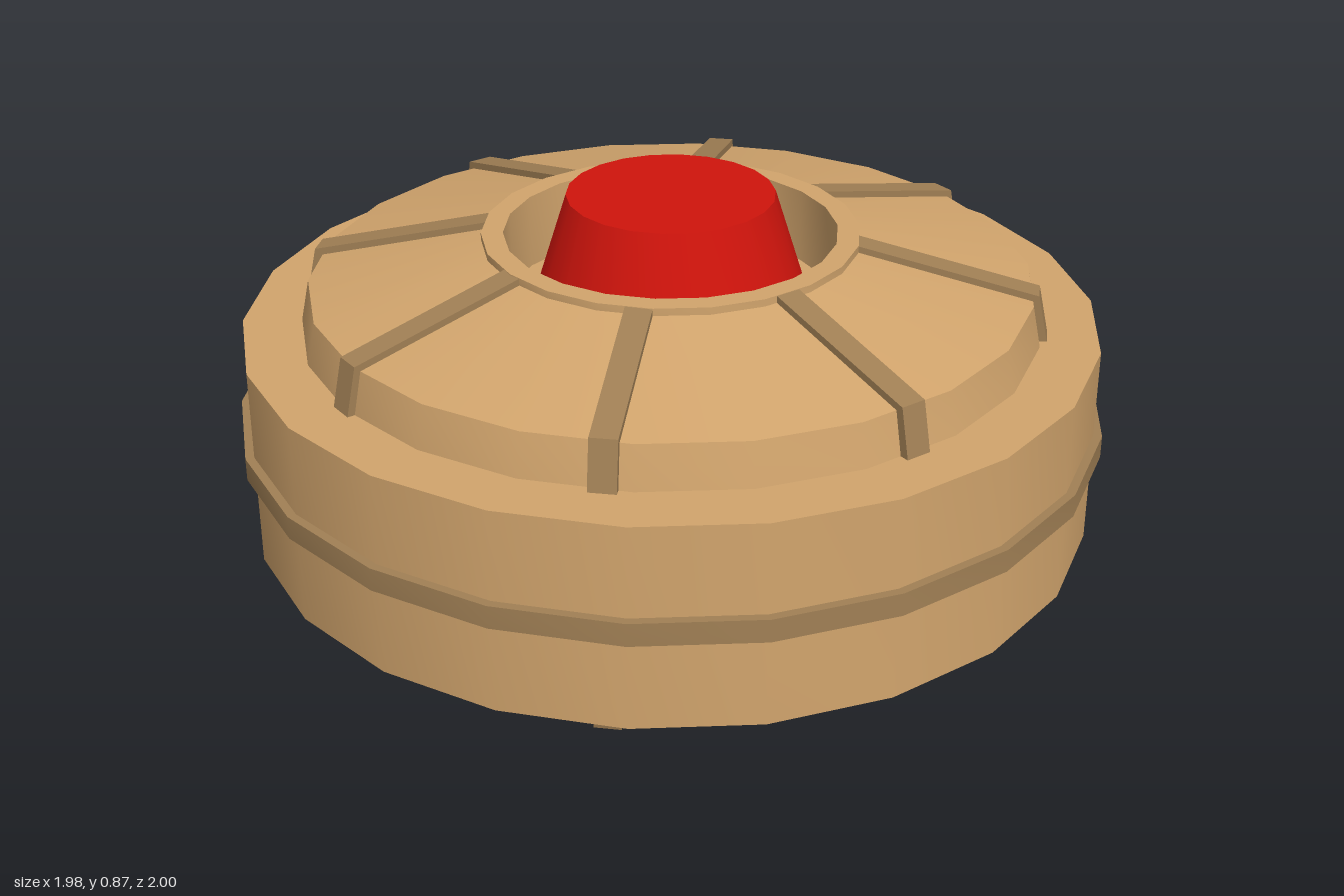
import * as THREE from 'three';
import { toCreasedNormals } from 'three/addons/utils/BufferGeometryUtils.js';

const SIDES = 22;
const tan = new THREE.MeshStandardMaterial({ color: 0xd2a56d });
const brown = new THREE.MeshStandardMaterial({ color: 0xa18055 });
const red = new THREE.MeshStandardMaterial({ color: 0xd0140c });

// Turned part from [radius, height] points, listed bottom to top along the outside
function turned(name, profile, material) {
  const points = profile.map(([r, y]) => new THREE.Vector2(r, y));
  const mesh = new THREE.Mesh(toCreasedNormals(new THREE.LatheGeometry(points, SIDES), 0.5), material);
  mesh.name = name;
  return mesh;
}

// Eight radial ribs from one side outline in [radius, height]
function ribs(name, outline) {
  const group = new THREE.Group();
  group.name = name;
  const shape = new THREE.Shape(outline.map(([r, y]) => new THREE.Vector2(r, y)));
  const geometry = new THREE.ExtrudeGeometry(shape, { depth: 0.06, bevelEnabled: false });
  geometry.translate(0, 0, -0.03);
  for (let i = 0; i < 8; i++) {
    const rib = new THREE.Mesh(geometry, brown);
    rib.name = 'rib';
    rib.rotation.y = (i * Math.PI) / 4;
    group.add(rib);
  }
  return group;
}

export function createModel() {
  const model = new THREE.Group();
  model.name = 'landMine';

  // Casing: raised foot disc, underside, drum wall, sloped lid, collar and well
  model.add(turned('casing', [
    [0, 0.003], [0.43, 0.003], [0.43, 0.025], [0.825, 0.007], [0.845, 0.11],
    [0.98, 0.11], [0.98, 0.58], [0.845, 0.58], [0.825, 0.677],
    [0.43, 0.768], [0.43, 0.785], [0.38, 0.785], [0.38, 0.61], [0, 0.61],
  ], tan));

  // Band around the waist
  model.add(turned('waistBand', [
    [0.97, 0.32], [1, 0.32], [1, 0.373], [0.97, 0.373],
  ], brown));

  // Pressure button in the well
  model.add(turned('button', [
    [0.32, 0.61], [0.237, 0.873], [0, 0.873],
  ], red));

  // Ribs bent over the lid and under the base
  model.add(ribs('lidRibs', [
    [0.42, 0.74], [0.8, 0.65], [0.81, 0.58], [0.858, 0.58], [0.834, 0.69], [0.42, 0.785],
  ]));
  model.add(ribs('baseRibs', [
    [0.42, 0.04], [0.42, 0.006], [0.834, 0], [0.858, 0.11], [0.81, 0.11], [0.8, 0.04],
  ]));

  return model;
}
